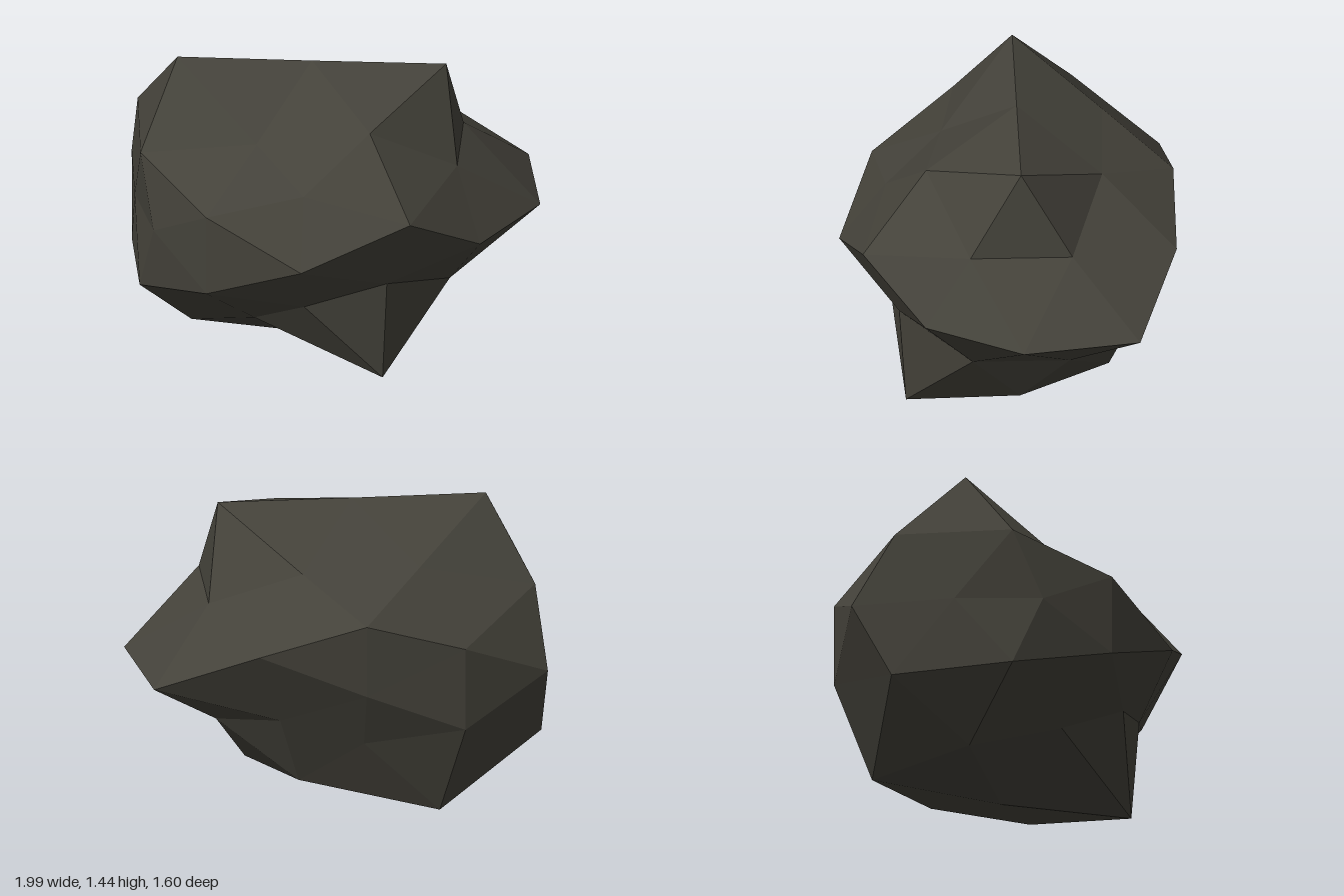
import * as THREE from 'three';

// Signs a coordinate can take (a zero coordinate has only one)
const signs = (v) => (v === 0 ? [1] : [1, -1]);

// Distance of each facet corner from the rock's heart, grouped by symmetric direction.
// Order of radii: x sign outermost, then y, then z, positive first.
const families = [
  { dir: [0.526, 0.851, 0], r: [1.226, 0.98, 1.226, 1.1] },
  { dir: [0, 0.526, 0.851], r: [0.82, 0.98, 0.79, 0.8] },
  { dir: [0.851, 0, 0.526], r: [0.982, 1.181, 0.864, 1.052] },
  { dir: [1, 0, 0], r: [1.095, 0.85] },
  { dir: [0, 1, 0], r: [1.04, 1.012] },
  { dir: [0, 0, 1], r: [0.944, 0.83] },
  { dir: [0.309, 0.809, 0.5], r: [0.987, 0.89, 1.205, 0.96, 0.785, 0.93, 0.82, 1.2] },
  { dir: [0.5, 0.309, 0.809], r: [1.035, 1.03, 0.79, 0.8, 0.93, 0.96, 0.93, 0.96] },
  { dir: [0.809, 0.5, 0.309], r: [0.88, 0.88, 0.835, 0.835, 0.995, 1.055, 1.0, 1.09] },
];

function cornerRadii() {
  const corners = [];
  for (const { dir: [x, y, z], r } of families) {
    let i = 0;
    for (const sx of signs(x)) for (const sy of signs(y)) for (const sz of signs(z)) {
      corners.push({ dir: new THREE.Vector3(x * sx, y * sy, z * sz), r: r[i++] });
    }
  }
  return corners;
}

export function createModel() {
  const stone = new THREE.MeshStandardMaterial({ color: 0x44423a, flatShading: true });
  stone.name = 'darkStone';

  // Once-divided icosahedron, each corner pushed in or out, then squashed
  const geometry = new THREE.IcosahedronGeometry(1, 1);
  const corners = cornerRadii();
  const squash = new THREE.Vector3(1, 0.7, 0.9);
  const heart = new THREE.Vector3(-0.105, 0.71, -0.05);
  const position = geometry.attributes.position;
  const v = new THREE.Vector3();
  for (let i = 0; i < position.count; i++) {
    v.fromBufferAttribute(position, i).normalize();
    const { r } = corners.reduce((best, c) => (c.dir.dot(v) > best.dir.dot(v) ? c : best));
    v.multiplyScalar(r).multiply(squash).add(heart);
    position.setXYZ(i, v.x, v.y, v.z);
  }
  geometry.computeVertexNormals();

  const rock = new THREE.Mesh(geometry, stone);
  rock.name = 'rock';
  const group = new THREE.Group();
  group.name = 'boulder';
  group.add(rock);
  return group;
}
